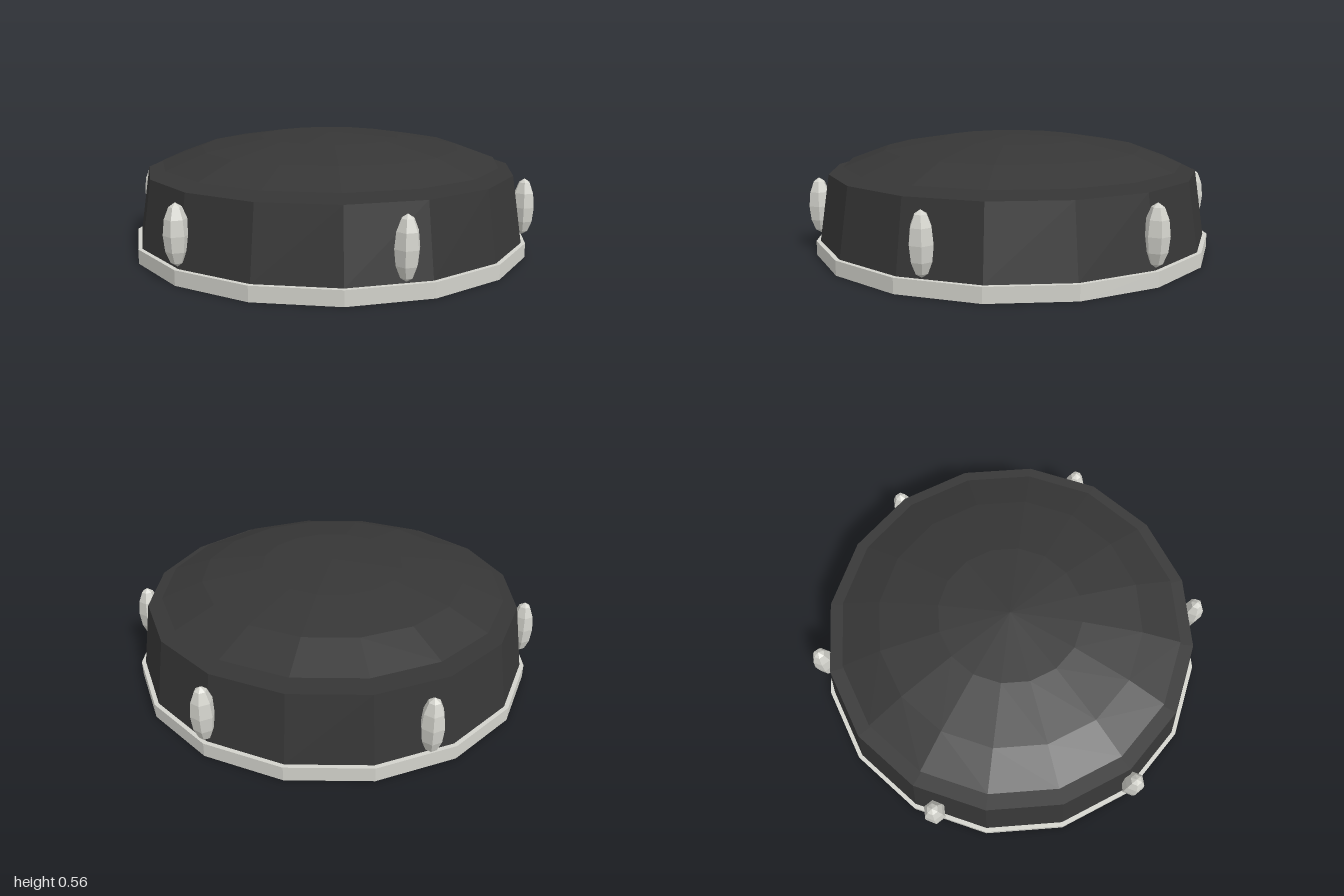
import * as THREE from 'three';

export function createModel() {
  const pale = new THREE.MeshStandardMaterial({ color: 0xd2d2cb, flatShading: true });
  pale.name = 'paleGrey';
  const dark = new THREE.MeshStandardMaterial({ color: 0x363636, flatShading: true, side: THREE.DoubleSide });
  dark.name = 'charcoal';

  const group = new THREE.Group();
  const add = (name, geometry, material, x, y, z) => {
    const mesh = new THREE.Mesh(geometry, material);
    mesh.name = name;
    mesh.position.set(x, y, z);
    group.add(mesh);
    return mesh;
  };
  const SIDES = 16;

  // Flat base plate and tapered body
  add('basePlate', new THREE.CylinderGeometry(0.97, 0.97, 0.068, SIDES), pale, 0, 0.034, 0);
  add('body', new THREE.CylinderGeometry(0.9, 0.95, 0.319, SIDES), dark, 0, 0.2265, 0);

  // Shallow open cap floating just above the body
  const cap = new THREE.SphereGeometry(0.9, SIDES, 3, 0, Math.PI * 2, 0, Math.PI * 0.375);
  cap.scale(1, 0.222 / 0.9, 1);
  add('domeCap', cap, dark, 0, 0.333, 0);

  // Six elongated studs around the rim
  const stud = new THREE.SphereGeometry(1, 6, 6);
  stud.rotateY(Math.PI / 6);
  stud.scale(0.055, 0.137, 0.055);
  for (let i = 0; i < 6; i++) {
    const a = (i * Math.PI) / 3;
    add('stud' + (i + 1), stud, pale, Math.cos(a) * 0.952, 0.217, Math.sin(a) * 0.952);
  }
  return group;
}
